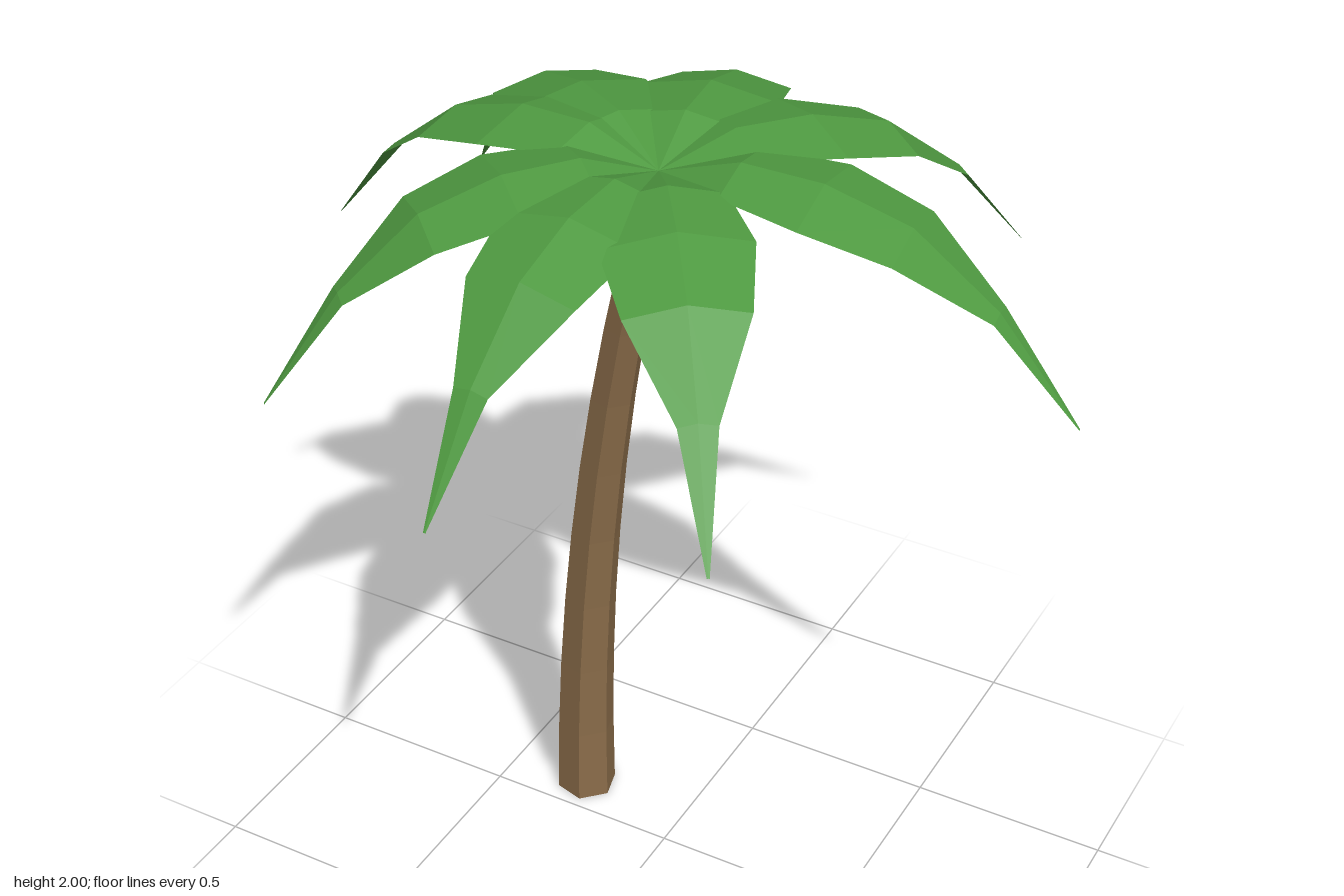
import * as THREE from 'three';

const leafGreen = new THREE.MeshStandardMaterial({ color: 0x4f9a41, flatShading: true, side: THREE.DoubleSide });
leafGreen.name = 'leafGreen';
const barkBrown = new THREE.MeshStandardMaterial({ color: 0x8b6d4a, flatShading: true });
barkBrown.name = 'barkBrown';
const nutBrown = new THREE.MeshStandardMaterial({ color: 0x64402a, flatShading: true });
nutBrown.name = 'nutBrown';

const CROWN = [-0.012, 0.003];

// Frond cross-sections: fraction of reach, midrib height, half width
const SECTIONS = [
  [0, 1.935, 0.015],
  [0.195, 1.995, 0.125],
  [0.39, 1.985, 0.162],
  [0.595, 1.925, 0.132],
  [0.8, 1.77, 0.042],
  [1, 1.53, 0.003],
];

// Frond tips on the ground plane (x, z)
const TIPS = [
  [0.956, -0.082], [0.535, -0.787], [-0.165, -0.9], [-0.812, -0.53],
  [-0.956, -0.118], [-0.612, 0.665], [-0.052, 0.895], [0.514, 0.755],
];

// Tapered six-sided trunk, bent along a parabola towards the crown
function makeTrunk() {
  const height = 1.92;
  const geo = new THREE.CylinderGeometry(0.044, 0.077, height, 6, 9, false, Math.PI / 12);
  geo.translate(0, height / 2, 0);
  const p = geo.attributes.position;
  for (let i = 0; i < p.count; i++) {
    const bend = 1 - (p.getY(i) / height) ** 2;
    p.setX(i, p.getX(i) - 0.012 - 0.278 * bend);
    p.setZ(i, p.getZ(i) - 0.1 * bend);
  }
  geo.computeVertexNormals();
  const mesh = new THREE.Mesh(geo, barkBrown);
  mesh.name = 'trunk';
  return mesh;
}

// Arched leaf, folded along its midrib: left edge, rib, right edge per section
function makeFrond([tipX, tipZ]) {
  const dx = tipX - CROWN[0], dz = tipZ - CROWN[1];
  const length = Math.hypot(dx, dz);
  const positions = [], index = [];
  SECTIONS.forEach(([t, y, half], row) => {
    for (const side of [-1, 0, 1]) {
      const w = (side * half) / length;
      positions.push(
        CROWN[0] + dx * t - dz * w,
        y - Math.abs(side) * half * 0.2,
        CROWN[1] + dz * t + dx * w,
      );
    }
    if (row === 0) return;
    for (let c = 0; c < 2; c++) {
      const a = (row - 1) * 3 + c, b = row * 3 + c;
      index.push(a, a + 1, b, a + 1, b + 1, b);
    }
  });
  const geo = new THREE.BufferGeometry();
  geo.setAttribute('position', new THREE.Float32BufferAttribute(positions, 3));
  geo.setIndex(index);
  geo.computeVertexNormals();
  const mesh = new THREE.Mesh(geo, leafGreen);
  mesh.name = 'frond';
  return mesh;
}

export function createModel() {
  const model = new THREE.Group();
  model.name = 'palmTree';
  model.add(makeTrunk());

  // Crown of fronds
  const crown = new THREE.Group();
  crown.name = 'crown';
  TIPS.forEach((tip) => crown.add(makeFrond(tip)));
  model.add(crown);

  // Cluster of coconuts under the crown
  const nutGeo = new THREE.IcosahedronGeometry(0.048, 1);
  for (const [x, z] of [[0.053, 0.03], [-0.035, 0.064], [-0.025, -0.056]]) {
    const nut = new THREE.Mesh(nutGeo, nutBrown);
    nut.name = 'coconut';
    nut.position.set(x, 1.85, z);
    model.add(nut);
  }
  return model;
}
